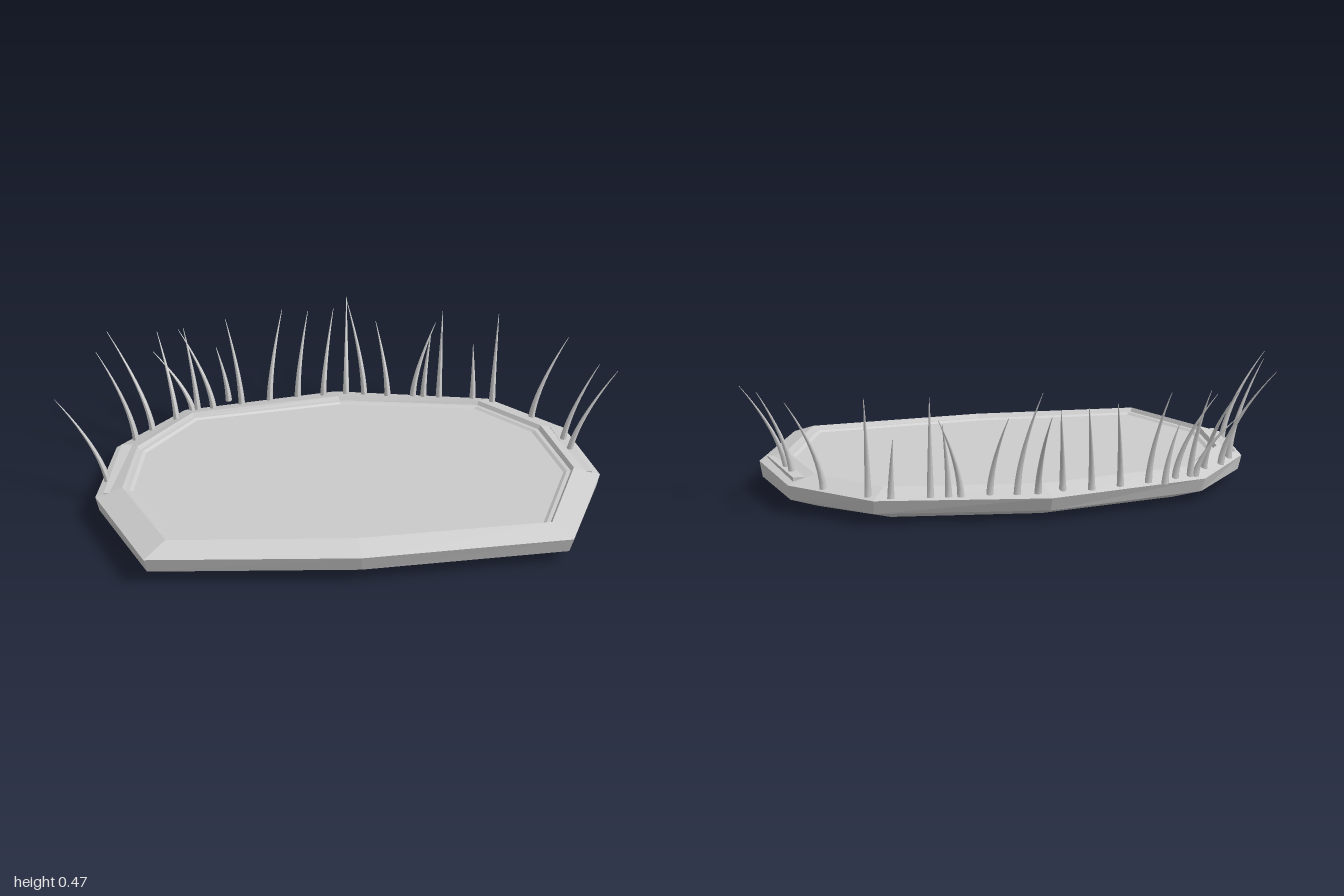
import * as THREE from 'three';

const material = new THREE.MeshStandardMaterial({ color: 0xcccccc, flatShading: true, side: THREE.DoubleSide });
const smoothMaterial = new THREE.MeshStandardMaterial({ color: 0xcccccc });

// Outlines as [x, z], running from the front middle round the model's left side
const outer = [[0.02, 0.67], [0.74, 0.62], [0.92, 0.22], [0.86, -0.12], [0.61, -0.37],
  [0.02, -0.48], [-0.57, -0.38], [-0.82, -0.12], [-0.88, 0.22], [-0.70, 0.62]];
const inner = [[0.01, 0.58], [0.66, 0.54], [0.80, 0.21], [0.74, -0.09], [0.55, -0.29],
  [0.03, -0.37], [-0.53, -0.29], [-0.72, -0.06], [-0.76, 0.21], [-0.61, 0.54]];

const scaled = (ring, sx, sz) => ring.map(([x, z]) => [0.02 + (x - 0.02) * sx, 0.1 + (z - 0.1) * sz]);
const between = (a, b, t) => a.map(([x, z], i) => [x + (b[i][0] - x) * t, z + (b[i][1] - z) * t]);
// Each ring lies on a plane that rises slightly to the front
const tilt = (ring, y, slope) => ring.map(([x, z]) => [x, y + slope * z, z]);

// Skin closed rings of equal length, with a fan at each end
function skin(rings) {
  const n = rings[0].length, pos = rings.flat(2), index = [];
  const centre = (ring) => [0, 1, 2].map((k) => ring.reduce((s, p) => s + p[k], 0) / n);
  const first = rings.length * n, last = first + 1;
  pos.push(...centre(rings[0]), ...centre(rings[rings.length - 1]));
  for (let i = 0; i < n; i++) {
    const j = (i + 1) % n;
    for (let r = 0; r < rings.length - 1; r++) {
      const a = r * n + i, b = r * n + j;
      index.push(a, b, b + n, a, b + n, a + n);
    }
    index.push(first, j, i, last, first - n + i, first - n + j);
  }
  const g = new THREE.BufferGeometry();
  g.setAttribute('position', new THREE.Float32BufferAttribute(pos, 3));
  g.setIndex(index);
  g.computeVertexNormals();
  return g;
}

// A tapered spike whose horizontal cross-sections drift along a curve
function spike([bx, bz, tx, tz, ty]) {
  const by = 0.1, g = new THREE.CylinderGeometry(0.001, 0.013, 1, 7, 10);
  const p = g.attributes.position;
  for (let i = 0; i < p.count; i++) {
    const t = p.getY(i) + 0.5, bend = Math.pow(t, 1.6);
    p.setXYZ(i, p.getX(i) + bx + (tx - bx) * bend, by + (ty - by) * t, p.getZ(i) + bz + (tz - bz) * bend);
  }
  g.computeVertexNormals();
  return g;
}

export function createModel() {
  const model = new THREE.Group();
  const add = (name, geometry, mat) => {
    const mesh = new THREE.Mesh(geometry, mat);
    mesh.name = name;
    model.add(mesh);
  };

  // Bevelled tray with a raised rim and a shallow sunken floor
  add('tray', skin([
    tilt(scaled(outer, 0.87, 0.78), 0.011, 0.017),
    tilt(scaled(outer, 0.99, 0.96), 0.052, 0.022),
    tilt(outer, 0.107, 0.035),
    tilt(between(outer, inner, 0.8), 0.137, 0.04),
    tilt(between(outer, inner, 0.88), 0.122, 0.04),
    tilt(inner, 0.122, 0.04),
    tilt(scaled(inner, 0.985, 0.985), 0.115, 0.04),
  ]), material);

  // Narrow ledge along each side of the rim
  for (const [name, a, b, c, d] of [
    ['leftLedge', [0.85, 0.22], [0.89, 0.22], [0.84, -0.10], [0.80, -0.10]],
    ['rightLedge', [-0.85, 0.22], [-0.81, 0.22], [-0.76, -0.10], [-0.80, -0.10]],
  ]) {
    const corners = [a, b, c, d];
    add(name, skin([tilt(corners, 0.09, 0.03), tilt(corners, 0.127, 0.02)]), material);
  }

  // Spikes round the back and sides: base x, base z, tip x, tip z, tip height
  const spikes = [
    [-0.84, 0.12, -1.00, 0.10, 0.45], [-0.75, -0.16, -0.87, -0.18, 0.475],
    [-0.69, -0.23, -0.84, -0.36, 0.46], [-0.60, -0.29, -0.66, -0.44, 0.41],
    [-0.54, -0.36, -0.68, -0.43, 0.33], [-0.52, -0.36, -0.56, -0.44, 0.42],
    [-0.46, -0.37, -0.58, -0.45, 0.41], [-0.40, -0.43, -0.44, -0.46, 0.32],
    [-0.35, -0.40, -0.40, -0.48, 0.43], [-0.24, -0.42, -0.18, -0.56, 0.42],
    [-0.13, -0.44, -0.08, -0.56, 0.41], [-0.03, -0.43, 0.02, -0.57, 0.41],
    [0.06, -0.44, 0.08, -0.67, 0.41], [0.13, -0.43, 0.07, -0.53, 0.46],
    [0.22, -0.41, 0.18, -0.51, 0.38], [0.32, -0.41, 0.41, -0.48, 0.38],
    [0.36, -0.40, 0.39, -0.45, 0.36], [0.42, -0.39, 0.43, -0.44, 0.45],
    [0.55, -0.37, 0.55, -0.42, 0.31], [0.62, -0.33, 0.64, -0.40, 0.45],
    [0.75, -0.20, 0.88, -0.25, 0.42], [0.83, -0.01, 0.95, -0.04, 0.42],
    [0.84, 0.06, 1.00, 0.03, 0.43],
  ];
  spikes.forEach((s, i) => add('spike' + (i + 1), spike(s), smoothMaterial));
  return model;
}
